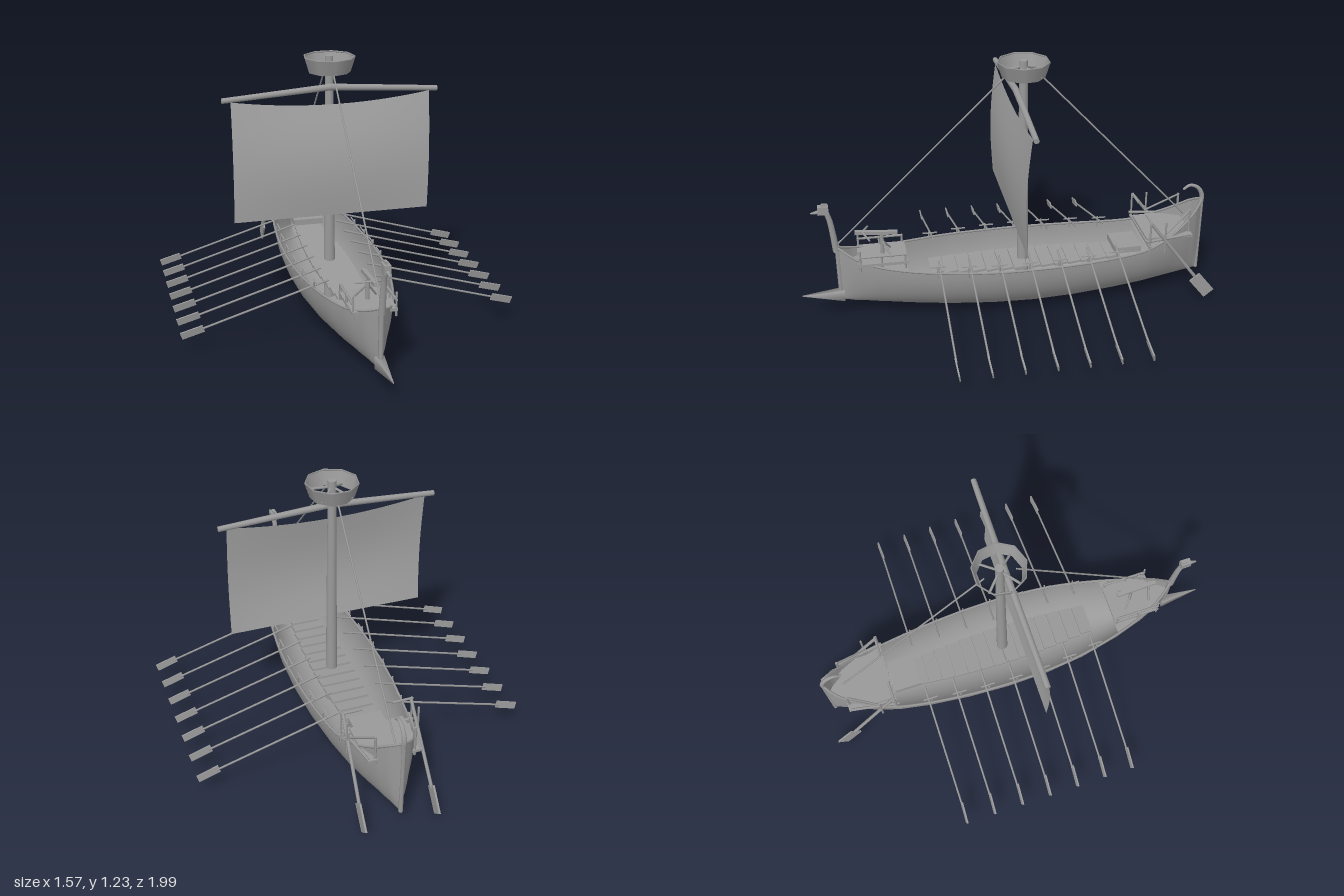
import * as THREE from 'three';

const wood = new THREE.MeshStandardMaterial({ color: 0x999999, side: THREE.DoubleSide });
wood.name = 'grey wood';
const cloth = new THREE.MeshStandardMaterial({ color: 0xa4a4a4, side: THREE.DoubleSide });
cloth.name = 'grey cloth';

const V = (x, y, z) => new THREE.Vector3(x, y, z);

export function createModel() {
  const ship = new THREE.Group();
  ship.name = 'galley';

  const add = (name, geo, mat = wood, parent = ship) => {
    const m = new THREE.Mesh(geo, mat);
    m.name = name;
    parent.add(m);
    return m;
  };
  const box = (name, w, h, d, x, y, z) => {
    const m = add(name, new THREE.BoxGeometry(w, h, d));
    m.position.set(x, y, z);
    return m;
  };
  // Round bar between two points
  const bar = (name, a, b, r0, r1 = r0, sides = 6) => {
    const dir = b.clone().sub(a);
    const m = add(name, new THREE.CylinderGeometry(r1, r0, dir.length(), sides));
    m.position.copy(a).add(b).multiplyScalar(0.5);
    m.quaternion.setFromUnitVectors(V(0, 1, 0), dir.normalize());
    return m;
  };
  // Tapered tube along a smooth path
  const taper = (name, pts, r0, r1, seg = 16, sides = 8) => {
    const curve = new THREE.CatmullRomCurve3(pts);
    const geo = new THREE.TubeGeometry(curve, seg, 1, sides);
    const p = geo.attributes.position, c = V(0, 0, 0), v = V(0, 0, 0);
    for (let i = 0; i < p.count; i++) {
      const t = Math.floor(i / (sides + 1)) / seg;
      curve.getPointAt(t, c);
      v.fromBufferAttribute(p, i).sub(c).multiplyScalar(r0 + (r1 - r0) * t).add(c);
      p.setXYZ(i, v.x, v.y, v.z);
    }
    return add(name, geo);
  };
  // Grid surface from a point function
  const surface = (nu, nv, f) => {
    const geo = new THREE.PlaneGeometry(1, 1, nu, nv), p = geo.attributes.position;
    for (let j = 0, k = 0; j <= nv; j++)
      for (let i = 0; i <= nu; i++, k++) p.setXYZ(k, ...f(i / nu, j / nv));
    geo.computeVertexNormals();
    return geo;
  };

  // Hull stations: z, half width, gunwale height, keel height
  const stations = [
    [0.82, 0.004, 0.36, 0.08], [0.75, 0.055, 0.325, 0.066], [0.65, 0.1, 0.295, 0.056],
    [0.5, 0.148, 0.28, 0.04], [0.3, 0.192, 0.274, 0.022], [0.1, 0.214, 0.27, 0.01],
    [-0.1, 0.219, 0.27, 0.005], [-0.3, 0.21, 0.271, 0.012], [-0.5, 0.189, 0.276, 0.026],
    [-0.65, 0.164, 0.29, 0.04], [-0.76, 0.134, 0.33, 0.052], [-0.86, 0.09, 0.385, 0.062],
    [-0.92, 0.052, 0.43, 0.07], [-0.96, 0.004, 0.46, 0.076]];
  const station = (z) => {
    let i = 0;
    while (i < stations.length - 2 && stations[i + 1][0] > z) i++;
    const a = stations[i], b = stations[i + 1], t = (z - a[0]) / (b[0] - a[0]);
    return a.map((n, k) => n + (b[k] - n) * t);
  };
  add('hull', surface(24, 52, (u, v) => {
    const s = v * (stations.length - 1), i = Math.min(Math.floor(s), stations.length - 2);
    const [z, w, top, keel] = stations[i].map((n, k) => n + (stations[i + 1][k] - n) * (s - i));
    const a = (u - 0.5) * Math.PI;
    return [w * Math.sin(a), top - (top - keel) * Math.cos(a), z];
  }));

  // Gunwale rails, stem and stern posts
  for (const s of [-1, 1])
    add('gunwale', new THREE.TubeGeometry(new THREE.CatmullRomCurve3(
      stations.map(([z, w, top]) => V(s * w, top, z))), 48, 0.006, 5));
  bar('stemPost', V(0, 0.08, 0.815), V(0, 0.37, 0.82), 0.012);
  bar('sternPost', V(0, 0.075, -0.955), V(0, 0.46, -0.96), 0.01);

  // End decks that follow the hull outline
  const deck = (name, z0, z1, y) => add(name, surface(1, 12, (u, v) => {
    const z = z0 + (z1 - z0) * v, [, w, top, keel] = station(z);
    const d = (top - y) / (top - keel);
    return [(u - 0.5) * 2 * w * Math.sqrt(Math.max(0, 1 - d * d)), y, z];
  }));
  deck('bowDeck', 0.81, 0.5, 0.272);
  deck('sternDeck', -0.65, -0.95, 0.282);

  // Walkway planks down the middle, lapped slightly
  for (let i = 0; i < 14; i++) {
    const z = -0.505 + i * 0.0665;
    const w = 0.062 + 0.034 * Math.cos((z + 0.06) * 3);
    box('walkwayPlank', w * 2, 0.012, 0.062, 0, 0.215, z).rotation.x = 0.12;
  }
  box('sternStep', 0.155, 0.03, 0.13, 0, 0.25, -0.575);

  // Mast and lookout basket
  bar('mast', V(0, 0.03, -0.065), V(0, 1.23, -0.065), 0.029, 0.019, 12);
  const basket = add('lookoutBasket', new THREE.CylinderGeometry(0.122, 0.1, 0.07, 9, 1, true));
  basket.position.set(0, 1.19, -0.065);
  const rim = add('basketRim', new THREE.TorusGeometry(0.119, 0.004, 4, 9));
  rim.rotation.x = Math.PI / 2;
  rim.rotation.z = Math.PI / 2;
  rim.position.set(0, 1.225, -0.065);
  for (let i = 0; i < 4; i++) {
    const a = i * Math.PI / 2 + Math.PI / 4;
    bar('basketSpoke', V(0, 1.2, -0.065), V(0.1 * Math.sin(a), 1.165, -0.065 + 0.1 * Math.cos(a)), 0.006);
  }

  // Yard and billowing sail
  for (const s of [-1, 1])
    bar('yard', V(0, 1.09, -0.03), V(s * 0.51, 1.057, -0.022), 0.016, 0.013, 8);
  add('sail', surface(20, 14, (u, v) => {
    const x = (u - 0.5) * 0.94, k = Math.pow(x / 0.47, 2);
    const top = 1.012 + 0.038 * k;
    return [x, top + (0.475 - top) * v,
      -0.015 + 0.015 * v + 0.03 * Math.sin(Math.PI * v) * (1 - 0.4 * k)];
  }), cloth);

  // Stays
  bar('foreStay', V(0, 1.165, 0.01), V(0, 0.37, 0.825), 0.004);
  bar('backStay', V(0, 1.165, -0.135), V(0, 0.385, -0.87), 0.004);

  // Rowing oars with rests, seven a side
  for (const s of [-1, 1]) for (let i = 0; i < 7; i++) {
    const z = -0.5 + i * 0.1427;
    const edge = station(z)[1];
    bar('oarShaft', V(s * 0.11, 0.302, z), V(s * 0.69, 0.128, z), 0.005, 0.005, 5);
    const blade = box('oarBlade', 0.105, 0.034, 0.007, s * 0.728, 0.117, z);
    blade.rotation.z = -s * 0.29;
    blade.rotation.x = 0.15;
    bar('oarRest', V(s * edge, 0.25, z + 0.014), V(s * edge, 0.305, z + 0.014), 0.004);
    box('oarRestBar', 0.006, 0.005, 0.07, s * (edge - 0.01), 0.303, z + 0.01);
  }

  // Steering oars
  for (const s of [-1, 1]) {
    bar('steeringShaft', V(s * 0.158, 0.425, -0.66), V(s * 0.168, 0.11, -0.9), 0.008);
    const blade = box('steeringBlade', 0.009, 0.125, 0.062, s * 0.17, 0.068, -0.93);
    blade.rotation.x = 0.68;
  }

  // Stern rails and frame
  box('sternPlatform', 0.25, 0.012, 0.23, 0, 0.325, -0.765);
  box('sternBeam', 0.35, 0.012, 0.012, 0, 0.305, -0.655);
  for (const s of [-1, 1]) {
    for (const z of [-0.655, -0.73])
      bar('sternRailPost', V(s * 0.165, 0.27, z), V(s * 0.165, 0.43, z), 0.005);
    bar('sternRail', V(s * 0.168, 0.428, -0.66), V(s * 0.07, 0.428, -0.66), 0.006);
    bar('sternSideRail', V(s * 0.16, 0.33, -0.64), V(s * 0.12, 0.33, -0.87), 0.007);
    bar('sternPost', V(s * 0.09, 0.3, -0.87), V(s * 0.09, 0.45, -0.87), 0.006);
    bar('sternSlopeRail', V(s * 0.15, 0.34, -0.72), V(s * 0.09, 0.445, -0.87), 0.005);
  }

  // Bow fighting platform with rails
  box('bowPlatform', 0.2, 0.014, 0.23, 0, 0.303, 0.613);
  for (const s of [-1, 1]) {
    for (const z of [0.51, 0.62, 0.72])
      bar('bowRailPost', V(s * 0.095, 0.27, z), V(s * 0.095, z > 0.7 ? 0.38 : 0.35, z), 0.005);
    bar('bowRail', V(s * 0.095, 0.345, 0.505), V(s * 0.095, 0.345, 0.725), 0.006);
  }

  // Bolt thrower on the bow platform
  bar('throwerStand', V(0, 0.3, 0.61), V(0, 0.415, 0.61), 0.009);
  for (const s of [-1, 1]) {
    bar('throwerLeg', V(0, 0.38, 0.61), V(s * 0.05, 0.31, 0.57), 0.005);
    bar('throwerArm', V(0, 0.43, 0.7), V(s * 0.075, 0.42, 0.67), 0.006, 0.004);
  }
  box('throwerStock', 0.02, 0.016, 0.2, 0, 0.422, 0.635).rotation.x = -0.08;

  // Figurehead: curved neck, head and beak
  taper('figureheadNeck', [V(0, 0.34, 0.825), V(0, 0.43, 0.835), V(0, 0.5, 0.845), V(0, 0.56, 0.862)], 0.016, 0.012);
  box('figureheadHead', 0.03, 0.04, 0.05, 0, 0.562, 0.872);
  box('figureheadCrest', 0.012, 0.02, 0.03, 0, 0.582, 0.865);
  bar('figureheadBeak', V(0, 0.553, 0.89), V(0, 0.548, 0.93), 0.011, 0.004);

  // Ram at the waterline
  const ram = add('ram', new THREE.CylinderGeometry(0.003, 0.04, 0.2, 4, 1));
  ram.geometry.rotateY(Math.PI / 4);
  ram.geometry.rotateX(Math.PI / 2);
  ram.geometry.scale(0.75, 1, 1);
  ram.position.set(0, 0.108, 0.9);
  ram.rotation.x = -0.04;

  // Curled stern ornament
  taper('sternCurl', [V(0, 0.43, -0.955), V(0, 0.48, -0.958), V(0, 0.52, -0.935),
    V(0, 0.535, -0.895), V(0, 0.515, -0.862)], 0.014, 0.006);

  return ship;
}
